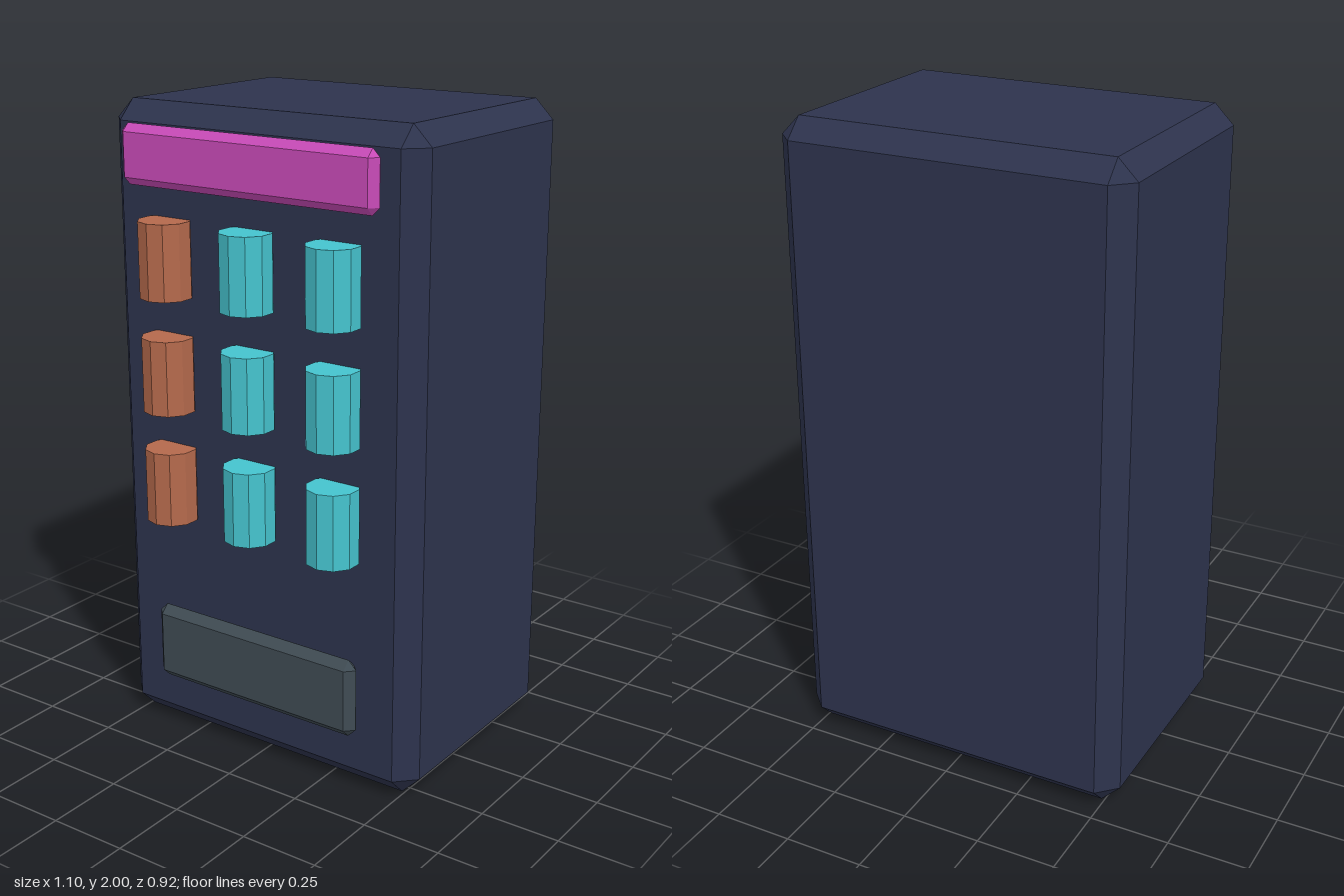
import * as THREE from 'three';
import { ConvexGeometry } from 'three/addons/geometries/ConvexGeometry.js';

const material = (color) => new THREE.MeshStandardMaterial({ color, flatShading: true });

// Box with every edge cut by a single flat chamfer c
function chamferBox(w, h, d, c) {
  const points = [];
  for (const sx of [-1, 1]) for (const sy of [-1, 1]) for (const sz of [-1, 1]) {
    for (let axis = 0; axis < 3; axis++) {
      const inset = [c, c, c];
      inset[axis] = 0;
      points.push(new THREE.Vector3(
        sx * (w / 2 - inset[0]), sy * (h / 2 - inset[1]), sz * (d / 2 - inset[2])));
    }
  }
  return new ConvexGeometry(points);
}

export function createModel() {
  const group = new THREE.Group();
  const add = (name, geometry, mat, x, y, z) => {
    const mesh = new THREE.Mesh(geometry, mat);
    mesh.name = name;
    mesh.position.set(x, y, z);
    group.add(mesh);
  };

  // Cabinet, header sign and dispensing tray
  add('cabinet', chamferBox(1.1, 2, 0.8, 0.06), material(0x2d334d), 0, 1, -0.06);
  add('headerSign', chamferBox(0.9, 0.18, 0.048, 0.0235), material(0xc94bb8), 0, 1.852, 0.377);
  add('dispenserTray', chamferBox(0.75, 0.25, 0.055, 0.027), material(0x3f4b53), 0, 0.305, 0.362);

  // Three rows of ten-sided cans half sunk into the front
  const can = new THREE.CylinderGeometry(0.08, 0.08, 0.23, 10);
  const copper = material(0xb4694c);
  const teal = material(0x45c3ce);
  for (let row = 0; row < 3; row++) {
    for (let col = 0; col < 3; col++) {
      add(`can${row + 1}${col + 1}`, can, col === 0 ? copper : teal,
        (col - 1) * 0.3, 1.555 - row * 0.35, 0.377);
    }
  }
  return group;
}
